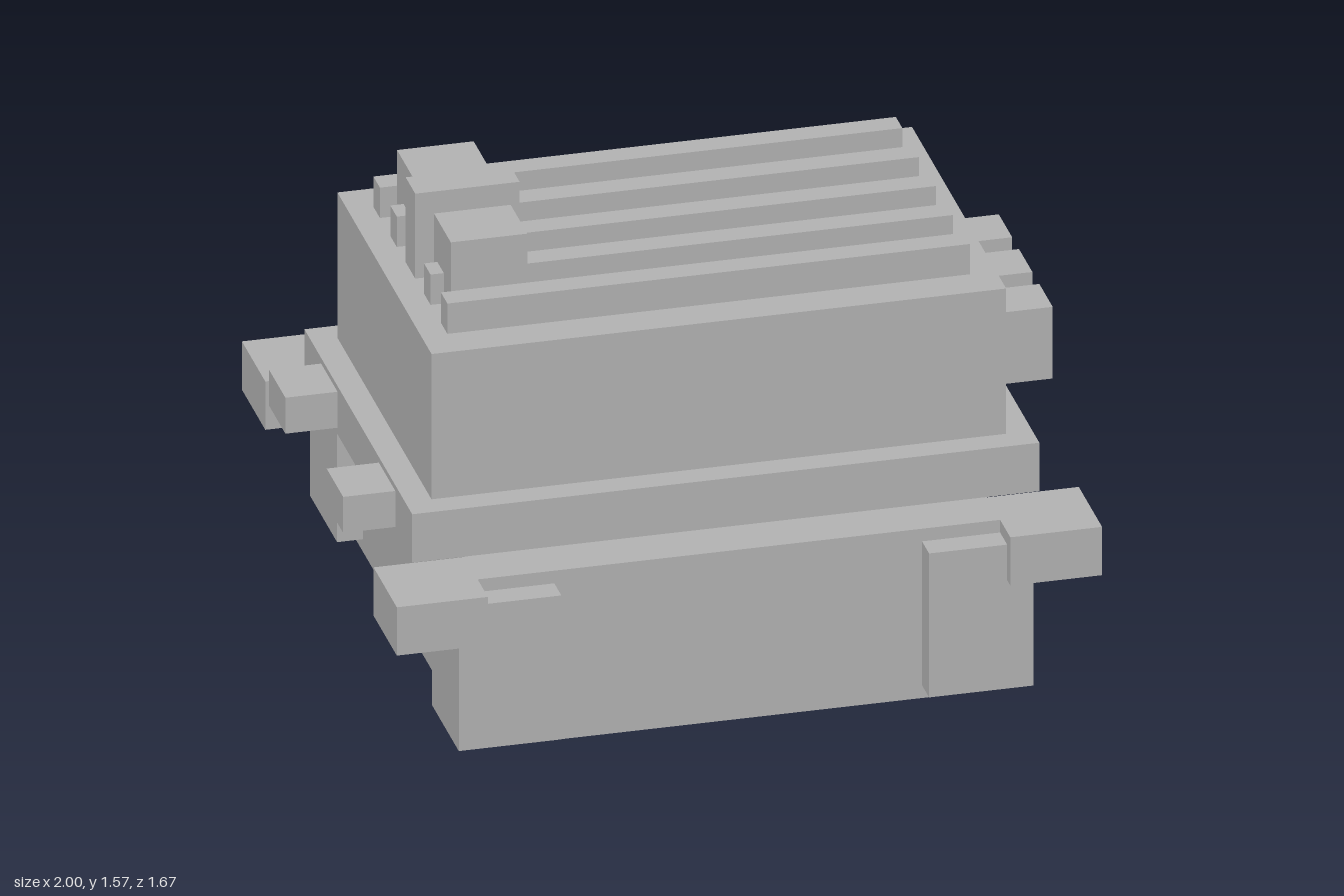
import * as THREE from 'three';

export function createModel() {
  const model = new THREE.Group();
  model.name = 'blockMachine';
  const grey = new THREE.MeshStandardMaterial({ color: 0xb3b3b3 });
  grey.name = 'plain grey';

  // Box given by its lower and upper limits on each axis
  const box = (name, [x0, x1], [y0, y1], [z0, z1]) => {
    const mesh = new THREE.Mesh(new THREE.BoxGeometry(x1 - x0, y1 - y0, z1 - z0), grey);
    mesh.position.set((x0 + x1) / 2, (y0 + y1) / 2, (z0 + z1) / 2);
    mesh.name = name;
    model.add(mesh);
  };

  // Stacked body
  box('foot', [-0.142, 0.178], [0, 0.222], [-0.163, 0.163]);
  box('lowerBody', [-0.71, 0.742], [0.222, 0.73], [-0.727, 0.723]);
  box('middleDeck', [-0.855, 0.888], [0.73, 0.875], [-0.582, 0.58]);
  box('upperBody', [-0.782, 0.815], [0.875, 1.311], [-0.51, 0.505]);

  // Corner plates and the lugs above them
  for (const x of [[-0.782, -0.497], [0.525, 0.815]])
    for (const z of [[-0.803, -0.513], [0.511, 0.799]]) box('cornerPlate', x, [0.26, 0.692], z);
  for (const x of [[-0.963, -0.71], [0.742, 0.997]])
    for (const z of [[-0.837, -0.585], [0.582, 0.833]]) box('cornerLug', x, [0.585, 0.73], z);

  // Cooling fins along the roof
  for (let i = -2; i <= 2; i++) {
    const z = i * 0.182 - 0.002;
    box('roofFin', [-0.71, 0.742], [1.311, 1.402], [z - 0.035, z + 0.035]);
  }

  // Roof blocks at the right end
  box('tallRoofBlock', [-0.71, -0.42], [1.311, 1.566], [-0.053, 0.05]);
  for (const z of [[-0.29, -0.111], [0.109, 0.29]]) box('roofBlock', [-0.673, -0.46], [1.311, 1.53], z);

  // Pegs on the left side
  for (const z of [-0.22, -0.002, 0.217]) box('leftPeg', [0.815, 1], [0.915, 1.13], [z - 0.072, z + 0.072]);

  // Small pegs on the right side of the deck
  for (const z of [[-0.402, -0.225], [0.22, 0.398]]) box('rightPeg', [-1, -0.855], [0.75, 0.858], z);

  // Stepped panel on the back
  box('backPanel', [-0.385, 0.413], [0.947, 1.257], [-0.674, -0.51]);
  box('backPanelStep', [-0.273, 0.305], [1.025, 1.184], [-0.747, -0.674]);

  return model;
}
